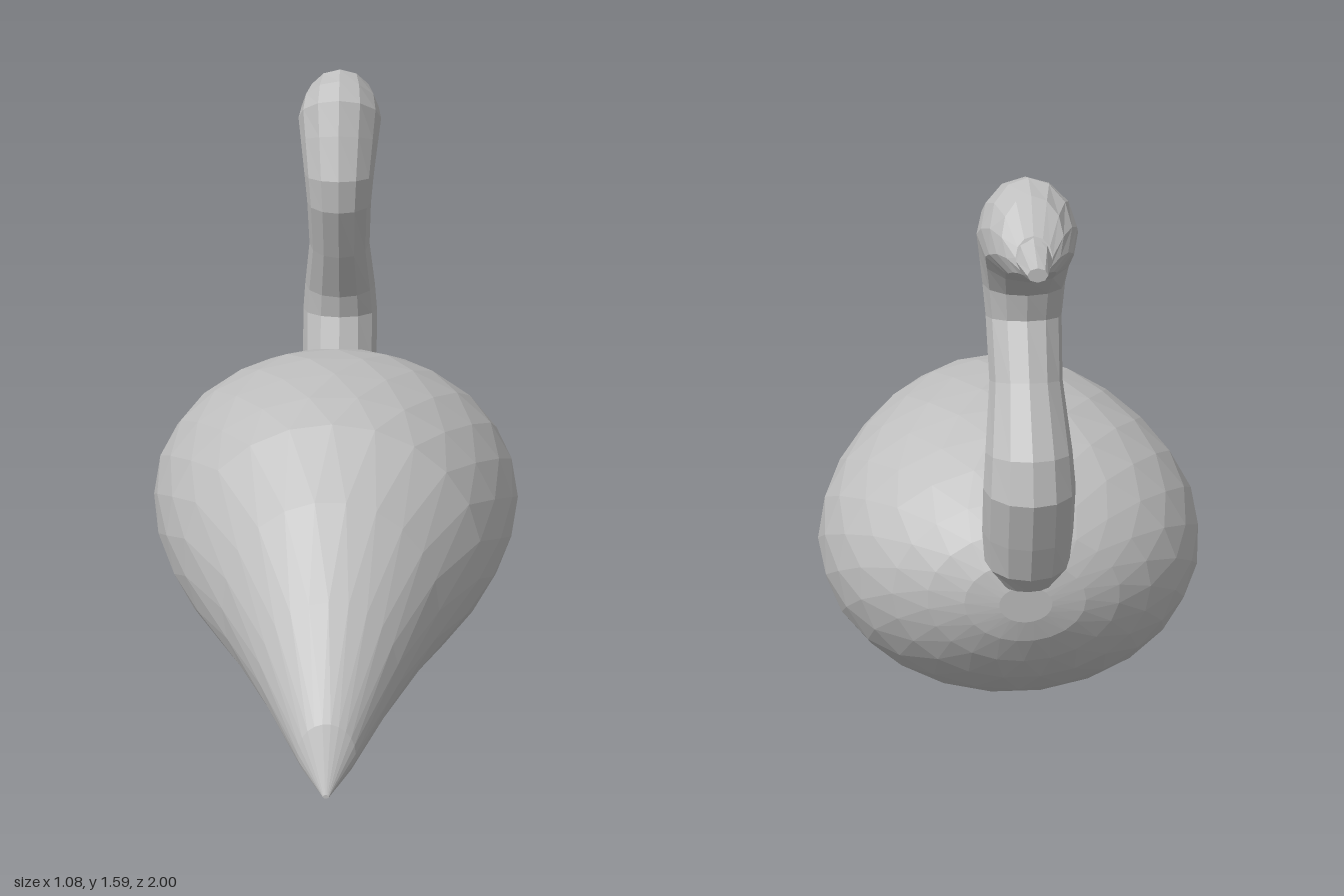
import * as THREE from 'three';

// Skins elliptical rings. Each ring runs across from point A to point B in the
// side plane, [zA, yA, zB, yB, halfWidth]; each ring is turned by `twist` steps.
function loft(rings, sides, twist) {
  const pos = [], index = [];
  rings.forEach(([za, ya, zb, yb, w], i) => {
    const cz = (za + zb) / 2, cy = (ya + yb) / 2;
    for (let j = 0; j < sides; j++) {
      const t = ((j + i * twist) / sides) * Math.PI * 2;
      const c = Math.cos(t);
      pos.push(w * Math.sin(t), cy + (ya - cy) * c, cz + (za - cz) * c);
    }
  });
  const at = (i, j) => i * sides + (j % sides);
  for (let i = 0; i < rings.length - 1; i++) {
    for (let j = 0; j < sides; j++) {
      index.push(at(i, j), at(i, j + 1), at(i + 1, j));
      index.push(at(i, j + 1), at(i + 1, j + 1), at(i + 1, j));
    }
  }
  // end caps
  const last = rings.length - 1;
  for (let j = 1; j < sides - 1; j++) {
    index.push(at(0, 0), at(0, j + 1), at(0, j));
    index.push(at(last, 0), at(last, j), at(last, j + 1));
  }
  const geo = new THREE.BufferGeometry();
  geo.setAttribute('position', new THREE.Float32BufferAttribute(pos, 3));
  geo.setIndex(index);
  const flat = geo.toNonIndexed();
  flat.computeVertexNormals();
  return flat;
}

export function createModel() {
  const group = new THREE.Group();
  const grey = new THREE.MeshStandardMaterial({ color: 0xbfbfbf, flatShading: true });
  grey.name = 'plain grey';
  const add = (name, geo) => {
    const mesh = new THREE.Mesh(geo, grey);
    mesh.name = name;
    group.add(mesh);
  };

  // body from the pointed tail to the breast: [z, top, bottom, halfWidth]
  const body = [
    [1.0, 0.09, 0.08, 0.008], [0.92, 0.25, 0.08, 0.075],
    [0.7, 0.49, 0.07, 0.185], [0.5, 0.69, 0.057, 0.295],
    [0.3, 0.835, 0.035, 0.415], [0.16, 0.865, 0.015, 0.475],
    [0, 0.875, 0.003, 0.52], [-0.15, 0.872, 0.007, 0.54],
    [-0.28, 0.853, 0.025, 0.525], [-0.4, 0.815, 0.06, 0.485],
    [-0.5, 0.765, 0.115, 0.43], [-0.59, 0.7, 0.19, 0.345],
    [-0.65, 0.635, 0.265, 0.255], [-0.69, 0.565, 0.34, 0.16],
    [-0.705, 0.5, 0.4, 0.07],
  ];
  add('body', loft(body.map(([z, top, bottom, w]) => [z, top, z, bottom, w]), 22, 0.5));

  // curved neck rising into the head
  const neckAndHead = [
    [-0.7, 0.525, -0.8, 0.525, 0.06], [-0.635, 0.61, -0.85, 0.575, 0.11],
    [-0.63, 0.69, -0.885, 0.67, 0.117], [-0.68, 0.82, -0.925, 0.8, 0.117],
    [-0.665, 0.89, -0.9, 0.91, 0.11], [-0.59, 1.04, -0.79, 1.08, 0.093],
    [-0.52, 1.2, -0.715, 1.22, 0.097], [-0.51, 1.3, -0.73, 1.29, 0.105],
    [-0.55, 1.43, -0.79, 1.34, 0.117], [-0.585, 1.53, -0.85, 1.365, 0.126],
    [-0.65, 1.575, -0.88, 1.37, 0.118], [-0.74, 1.592, -0.9, 1.378, 0.1],
    [-0.82, 1.565, -0.912, 1.382, 0.075], [-0.885, 1.48, -0.925, 1.385, 0.045],
  ];
  add('neckAndHead', loft(neckAndHead, 12, 0));

  // tapering beak
  add('beak', loft([
    [-0.86, 1.49, -0.86, 1.37, 0.052],
    [-0.91, 1.465, -0.92, 1.383, 0.043],
    [-1.0, 1.43, -1.0, 1.395, 0.025],
  ], 8, 0));

  return group;
}
